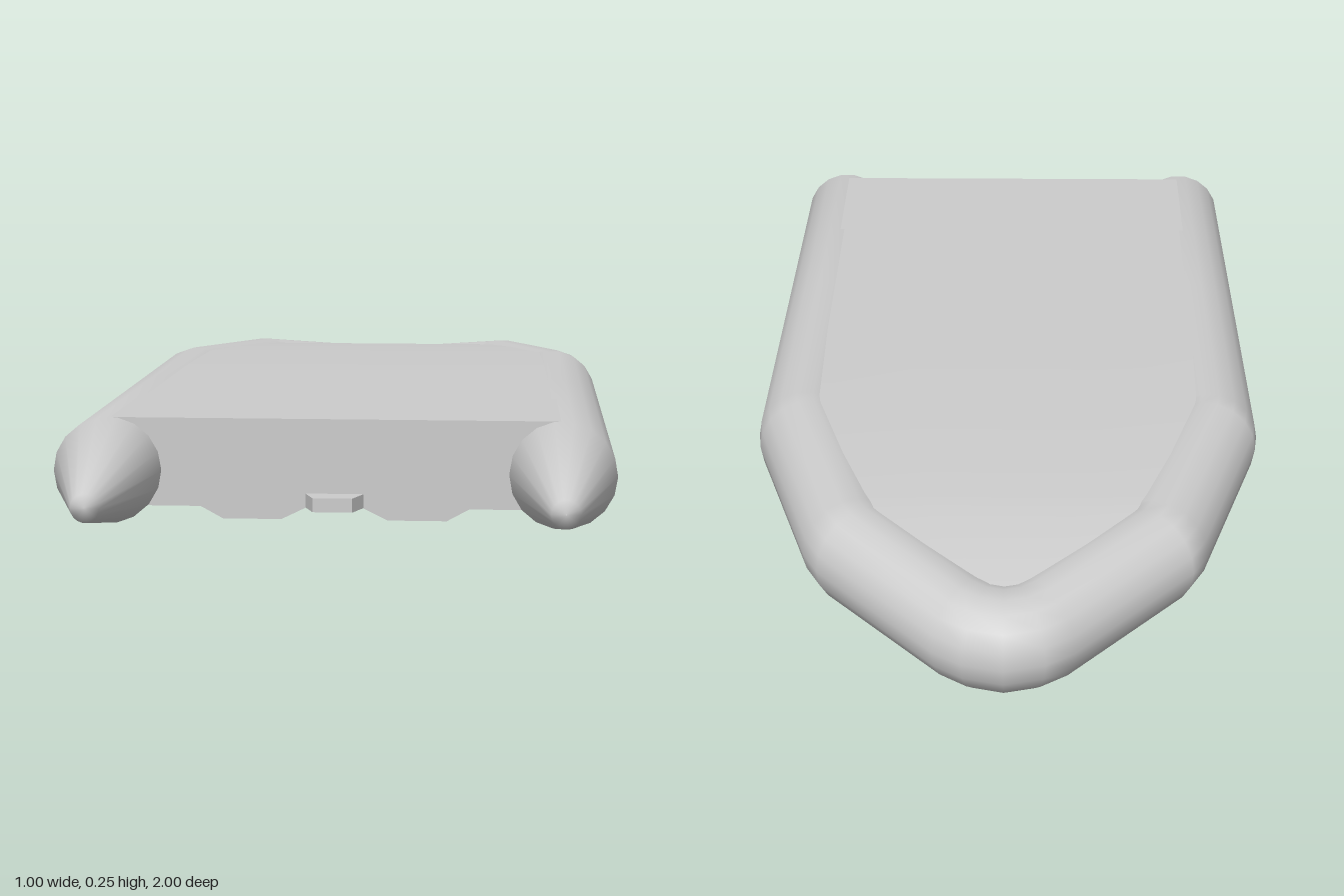
import * as THREE from 'three';

const SIDES = 18, R = 0.095;
const mat = new THREE.MeshStandardMaterial({ color: 0xcccccc, side: THREE.DoubleSide });

function add(group, name, geo) {
  const m = new THREE.Mesh(geo, mat);
  m.name = name;
  group.add(m);
  return m;
}

// Skin a list of cross-sections (arrays of Vector3) with smooth normals.
function loft(rings, closed) {
  const n = rings[0].length, idx = [];
  for (let i = 0; i < rings.length - 1; i++) {
    for (let j = 0; j < (closed ? n : n - 1); j++) {
      const k = (j + 1) % n;
      const a = i * n + j, b = i * n + k, c = a + n, d = b + n;
      idx.push(a, c, b, b, c, d);
    }
  }
  const geo = new THREE.BufferGeometry().setFromPoints(rings.flat());
  geo.setIndex(idx);
  geo.computeVertexNormals();
  return geo;
}

// Circle of radius r around c, in the plane of the horizontal direction (nx, nz) and up.
function ring(c, nx, nz, r) {
  return Array.from({ length: SIDES }, (_, j) => {
    const a = (j / SIDES) * Math.PI * 2;
    return new THREE.Vector3(c[0] + Math.cos(a) * nx * r, c[1] + Math.sin(a) * r, c[2] + Math.cos(a) * nz * r);
  });
}

export function createModel() {
  const boat = new THREE.Group();
  boat.name = 'upturnedInflatableBoat';

  // Buoyancy tube with tapered stern ends: centre line and radius of one side, mirrored across the bow
  const half = [
    [0.405, 0.125, 1, 0.001], [0.405, 0.125, 0.998, 0.025],
    [0.405, 0.155, 0.8, R], [0.405, 0.155, 0.2, R], [0.405, 0.155, -0.29, R], [0.4, 0.154, -0.325, R],
    [0.287, 0.138, -0.665, R], [0.27, 0.134, -0.695, R],
    [0.07, 0.1, -0.877, R], [0.038, 0.096, -0.896, R], [0, 0.095, -0.905, R],
  ];
  const path = half.concat(half.slice(0, -1).reverse().map(([x, ...rest]) => [-x, ...rest]));
  const dir = (a, b) => new THREE.Vector2(b[0] - a[0], b[2] - a[2]).normalize();
  const last = path.length - 1;
  const rings = path.map((p, i) => {
    const d0 = dir(path[Math.max(i - 1, 0)], path[Math.max(i, 1)]);
    const d1 = dir(path[Math.min(i, last - 1)], path[Math.min(i + 1, last)]);
    const t = d0.add(d1).normalize();
    const miter = 1 / t.dot(d1);
    return ring(p, -t.y * miter, t.x * miter, p[3]);
  });
  add(boat, 'buoyancyTube', loft(rings, true));

  // Hull skin stretched between the tubes: half width, height, z
  const skin = [
    [0.4, 0.2495, 0.78], [0.393, 0.247, 0], [0.388, 0.244, -0.3], [0.33, 0.235, -0.5], [0.295, 0.226, -0.63],
    [0.265, 0.22, -0.685], [0.18, 0.205, -0.77], [0.11, 0.191, -0.83], [0.06, 0.182, -0.865], [0.01, 0.175, -0.89],
  ].map(([w, y, z]) => [1, 0.5, 0, -0.5, -1].map((f) => new THREE.Vector3(f * w, y, z)));
  add(boat, 'hullSkin', loft(skin, false));

  // Transom board with a stepped lower edge
  const edge = [[0.05, 0.09], [0.095, 0.068], [0.2, 0.068], [0.24, 0.09], [0.37, 0.09], [0.395, 0.249]];
  const outline = edge.slice().reverse().map(([x, y]) => [-x, y]).concat(edge);
  const board = new THREE.Shape(outline.map(([x, y]) => new THREE.Vector2(x, y)));
  add(boat, 'transom', new THREE.ExtrudeGeometry(board, { depth: 0.03, bevelEnabled: false })).position.z = 0.75;

  // Motor pad on the transom
  const padShape = new THREE.Shape(
    [[-0.052, 0], [0.052, 0], [0.035, 0.045], [-0.035, 0.045]].map(([x, z]) => new THREE.Vector2(x, z)));
  const pad = add(boat, 'motorPad', new THREE.ExtrudeGeometry(padShape, { depth: 0.025, bevelEnabled: false }));
  pad.rotation.x = Math.PI / 2;
  pad.position.set(0, 0.115, 0.78);

  // Two bench seats with a holder plate at each end
  for (const z of [0.46, -0.04]) {
    const bench = new THREE.Group();
    bench.name = 'bench';
    bench.position.set(0, 0.125, z);
    add(bench, 'seatBoard', new THREE.BoxGeometry(0.66, 0.04, 0.08));
    for (const s of [-1, 1]) {
      add(bench, 'seatHolder', new THREE.BoxGeometry(0.02, 0.06, 0.13)).position.x = s * 0.315;
    }
    boat.add(bench);
  }

  return boat;
}
